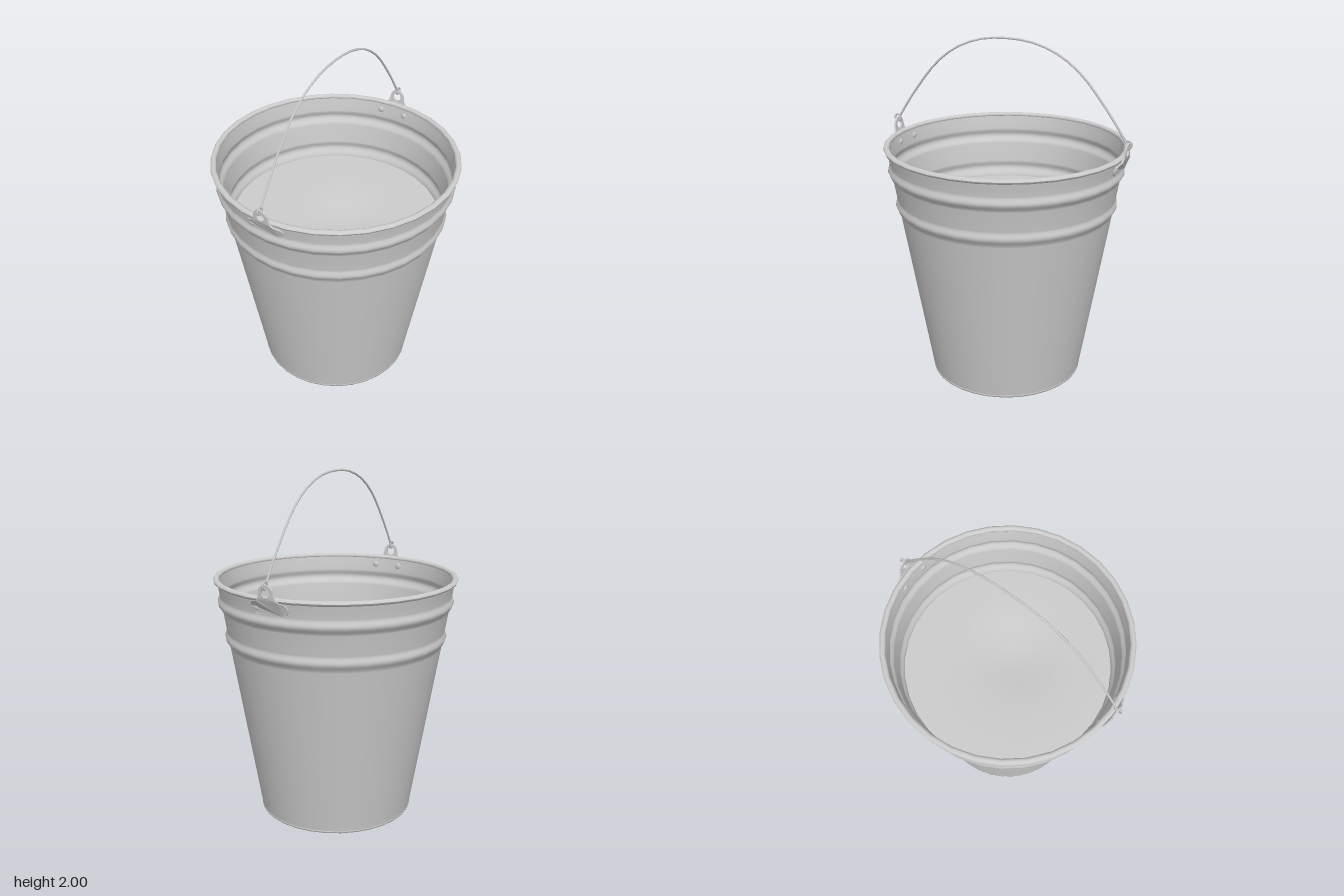
import * as THREE from 'three';

const metal = new THREE.MeshStandardMaterial({ color: 0xcccccc });
const SIDES = 32;
const WALL = 0.012;

function add(parent, name, geometry) {
  const mesh = new THREE.Mesh(geometry, metal);
  mesh.name = name;
  parent.add(mesh);
  return mesh;
}

// Outer radius of the tapered wall, with two pressed ridges
function wallRadius(y) {
  const ridge = (centre, height) => {
    const t = Math.abs(y - centre) / 0.045;
    return t < 1 ? height * (0.5 + 0.5 * Math.cos(Math.PI * t)) : 0;
  };
  return 0.45 + 0.166 * y + ridge(1.265, 0.018) + ridge(1.06, 0.016);
}

// Distance of the ear plate from the axis: along the wall, then out over the rim
function earRadius(y) {
  if (y < 1.36) return 0.674 + (y - 1.32) * 0.2;
  if (y < 1.39) return 0.682 + (y - 1.36) * 0.7;
  return 0.703 + (y - 1.39) * 0.08;
}

function earGeometry() {
  const s = new THREE.Shape();
  s.moveTo(-0.08, 1.317);
  s.lineTo(0.08, 1.317);
  s.absarc(0.077, 1.352, 0.035, -Math.PI / 2, Math.PI * 0.45, false);
  s.quadraticCurveTo(0.05, 1.39, 0.043, 1.437);
  s.absarc(0, 1.437, 0.043, 0, Math.PI, false);
  s.quadraticCurveTo(-0.05, 1.39, -0.082, 1.387);
  s.absarc(-0.077, 1.352, 0.035, Math.PI * 0.55, Math.PI * 1.5, false);
  const hole = new THREE.Path();
  hole.absarc(0, 1.437, 0.025, 0, Math.PI * 2, true);
  s.holes.push(hole);
  const geo = new THREE.ExtrudeGeometry(s, { depth: 0.01, bevelEnabled: false, curveSegments: 8 });
  // Bend the flat plate around the bucket
  const p = geo.attributes.position;
  for (let i = 0; i < p.count; i++) {
    const r = earRadius(p.getY(i));
    p.setZ(i, p.getZ(i) + Math.sqrt(r * r - p.getX(i) ** 2));
  }
  geo.computeVertexNormals();
  return geo;
}

export function createModel() {
  const bucket = new THREE.Group();
  bucket.name = 'bucket';

  // Wall: up the outside, then down the inside
  const heights = [0.01, 0.35, 0.7, 1.01];
  for (const c of [1.06, 1.265]) {
    for (let k = -4; k <= 4; k++) heights.push(c + k * 0.01125);
  }
  heights.push(1.35, 1.395);
  const outer = heights.map(y => new THREE.Vector2(wallRadius(y), y));
  const inner = heights.map(y => new THREE.Vector2(wallRadius(y) - WALL, y)).reverse();
  add(bucket, 'wallOutside', new THREE.LatheGeometry(outer, SIDES));
  add(bucket, 'wallInside', new THREE.LatheGeometry(inner, SIDES));

  // Rolled rim
  const rimProfile = [];
  for (let i = 0; i <= 10; i++) {
    const a = (i / 10) * Math.PI * 2;
    rimProfile.push(new THREE.Vector2(0.683 + 0.017 * Math.cos(a), 1.397 + 0.014 * Math.sin(a)));
  }
  add(bucket, 'rim', new THREE.LatheGeometry(rimProfile, SIDES));

  // Base plate and its thin lip
  add(bucket, 'base', new THREE.CylinderGeometry(0.447, 0.447, 0.012, SIDES)).position.y = 0.012;
  const lip = [[0.44, 0], [0.452, 0], [0.452, 0.012], [0.44, 0.012], [0.44, 0]];
  add(bucket, 'baseLip', new THREE.LatheGeometry(lip.map(p => new THREE.Vector2(...p)), SIDES));

  // Contents: a surface with a soft hollow near the middle
  const rings = [];
  for (let i = 12; i >= 0; i--) rings.push(new THREE.Vector2((i / 12) * 0.605, 1.005));
  const fill = new THREE.LatheGeometry(rings, SIDES);
  const fp = fill.attributes.position;
  for (let i = 0; i < fp.count; i++) {
    const d2 = (fp.getX(i) - 0.09) ** 2 + fp.getZ(i) ** 2;
    fp.setY(i, 1.005 - 0.04 * Math.exp(-d2 / 0.06));
  }
  fill.computeVertexNormals();
  add(bucket, 'contents', fill);

  // Front and back ears with rivets and the wire eyelet of the handle
  for (const turn of [0, Math.PI]) {
    const side = new THREE.Group();
    side.name = turn ? 'backEar' : 'frontEar';
    side.rotation.y = turn;
    add(side, 'earPlate', earGeometry());
    for (const x of [-0.08, 0.08]) {
      for (const [name, r, dir] of [['rivetHead', 0.682, 1], ['rivetTail', 0.661, -1]]) {
        const head = add(side, name, new THREE.SphereGeometry(0.02, 12, 4, 0, Math.PI * 2, 0, Math.PI / 2));
        head.scale.y = 0.5;
        head.position.set(x, 1.352, Math.sqrt(r * r - x * x));
        head.rotation.x = dir * Math.PI / 2;
      }
    }
    const eyelet = add(side, 'handleEyelet', new THREE.TorusGeometry(0.02, 0.006, 6, 14));
    eyelet.rotation.y = Math.PI / 2;
    eyelet.position.set(0, 1.476, 0.715);
    bucket.add(side);
  }

  // Wire handle arching from front to back
  const half = [[0.703, 1.485], [0.62, 1.61], [0.44, 1.83], [0.31, 1.925], [0.2, 1.97], [0.09, 1.992]];
  const front = half.map(([z, y]) => new THREE.Vector3(0, y, z));
  const back = half.map(([z, y]) => new THREE.Vector3(0, y, -z)).reverse();
  const arch = new THREE.CatmullRomCurve3([...front, ...back]);
  add(bucket, 'handle', new THREE.TubeGeometry(arch, 24, 0.0065, 6));

  return bucket;
}
